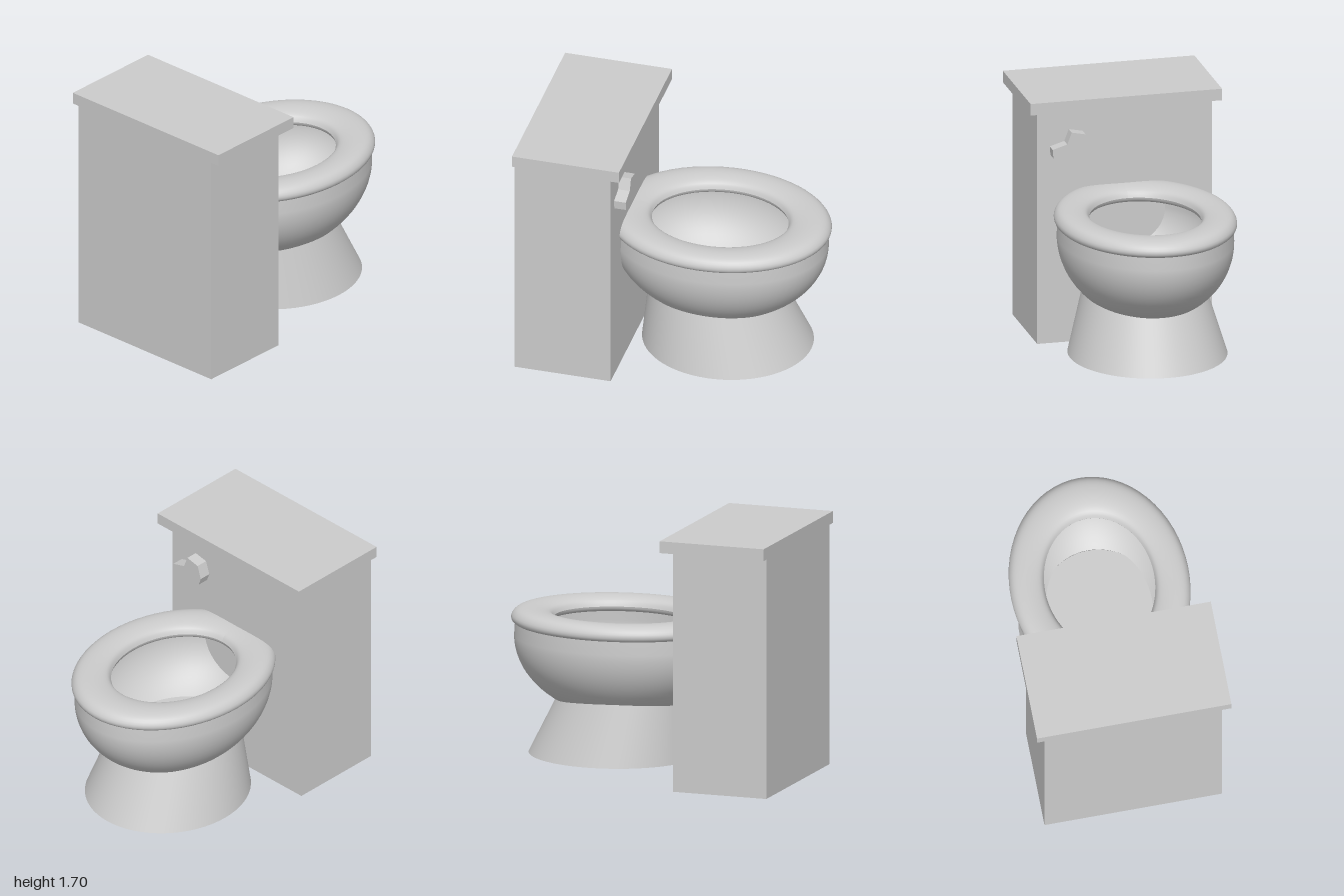
import * as THREE from 'three';

const CX = 0.003, CZ = -0.25; // centre of bowl and seat

export function createModel() {
  const group = new THREE.Group();
  const material = new THREE.MeshStandardMaterial({ color: 0xcccccc, side: THREE.DoubleSide });

  const add = (name, geometry, x = 0, y = 0, z = 0) => {
    const mesh = new THREE.Mesh(geometry, material);
    mesh.name = name;
    mesh.position.set(x, y, z);
    group.add(mesh);
    return mesh;
  };

  // Elliptical part: a turned profile stretched to half-widths rx and rz
  const turned = (name, points, rx, rz, z) => {
    const geometry = new THREE.LatheGeometry(points, 64);
    geometry.scale(rx, 1, rz);
    geometry.computeVertexNormals();
    return add(name, geometry, CX, 0, z);
  };

  // Quarter-ellipse profile of the bowl, from the bottom up
  const bowlCurve = (radius, depth, top) => {
    const points = [];
    for (let i = 0; i <= 20; i++) {
      const a = (i / 20) * Math.PI / 2;
      points.push(new THREE.Vector2(radius * Math.sin(a), 0.88 - depth * Math.cos(a)));
    }
    points.push(new THREE.Vector2(radius * 0.99, top));
    return points;
  };

  // Cistern and lid
  add('tank', new THREE.BoxGeometry(1.195, 1.62, 0.66), -0.007, 0.81, 0.67);
  add('tankLid', new THREE.BoxGeometry(1.31, 0.08, 0.735), 0, 1.66, 0.6325);

  // Bowl, outside and inside
  turned('bowlOuter', bowlCurve(1, 0.53, 0.985), 0.578, 0.73, CZ);
  turned('bowlInner', bowlCurve(0.95, 0.47, 0.985), 0.578, 0.73, CZ);

  // Rounded seat ring
  const seatProfile = new THREE.SplineCurve([
    [0.612, 1.01], [0.64, 1.045], [0.7, 1.065], [0.8, 1.075], [0.9, 1.07], [0.965, 1.05],
    [1, 1.01], [0.97, 0.973], [0.85, 0.97], [0.65, 0.975], [0.612, 1.01],
  ].map(([r, y]) => new THREE.Vector2(r, y))).getPoints(30).reverse();
  turned('seat', seatProfile, 0.597, 0.75, CZ);

  // Foot: tapered oval, leaning slightly back toward the cistern
  const footGeometry = new THREE.CylinderGeometry(0.775, 1, 0.42, 64, 1);
  const p = footGeometry.attributes.position;
  for (let i = 0; i < p.count; i++) {
    const rise = (p.getY(i) + 0.21) / 0.42;
    p.setXYZ(i, p.getX(i) * 0.528, p.getY(i), p.getZ(i) * 0.5725 + rise * 0.085);
  }
  // Keep the bottom disc flat and the wall smooth
  footGeometry.computeVertexNormals();
  add('foot', footGeometry, CX, 0.31, -0.303);

  // Flush handle: stepped lever on the bowl side of the cistern
  const lever = new THREE.Shape([
    [0.505, 1.37], [0.5, 1.31], [0.27, 1.315], [0.25, 1.37],
    [0.28, 1.46], [0.375, 1.48], [0.405, 1.4],
  ].map(([x, y]) => new THREE.Vector2(x, y)));
  add('flushHandle', new THREE.ExtrudeGeometry(lever, { depth: 0.09, bevelEnabled: false }), 0, 0, 0.26);

  return group;
}
